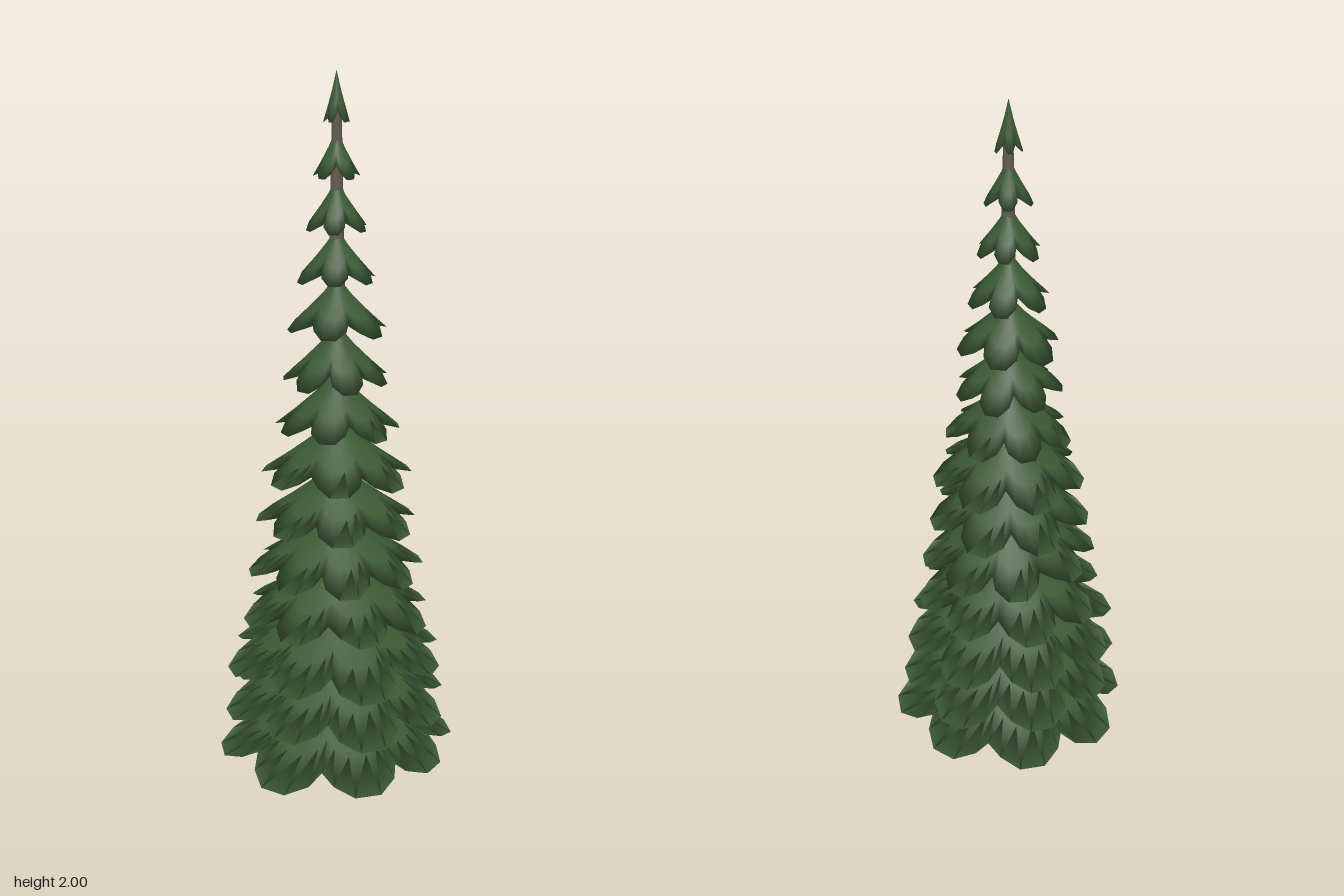
import * as THREE from 'three';

// Small seeded generator for natural variation
function makeRandom(seed) {
  return () => {
    seed = (seed * 16807) % 2147483647;
    return seed / 2147483647;
  };
}

// Outline of one rounded branch tip: position across the lobe, depth of cut-in
const LOBE = [[0, 1], [0.13, 0.42], [0.36, 0], [0.64, 0], [0.87, 0.42]];
const RINGS = 3;

// Closed, slightly concave skirt of branches with a scalloped, drooping rim
// and a shallow hollow underneath; the rim is shared so it shades softly
function skirtGeometry(radius, height, lobes, notch, turn, random) {
  const rim = [];
  for (let l = 0; l < lobes; l++) {
    const reach = 0.94 + 0.06 * random();
    const shift = (random() - 0.5) * 0.12;
    for (const [t, cut] of LOBE) {
      const angle = turn + ((l + t + shift) / lobes) * Math.PI * 2;
      rim.push([angle, radius * (1 - notch * cut) * (t === 0 ? 1 : reach)]);
    }
  }
  const n = rim.length;
  const positions = [];
  const index = [];
  for (let j = 0; j <= RINGS; j++) {
    for (const [angle, edge] of rim) {
      const r = (edge * Math.max(j, 0.02)) / RINGS;
      const y = height * (1 - Math.pow(r / radius, 0.85));
      positions.push(Math.cos(angle) * r, y, Math.sin(angle) * r);
    }
  }
  for (let j = 0; j < RINGS; j++) {
    for (let i = 0; i < n; i++) {
      const a = j * n + i;
      const b = j * n + ((i + 1) % n);
      index.push(a, b, b + n, a, b + n, a + n);
    }
  }
  // Underside, fanned from the rim to a point on the trunk
  const centre = positions.length / 3;
  positions.push(0, height * 0.22, 0);
  for (let i = 0; i < n; i++) {
    index.push(RINGS * n + i, RINGS * n + ((i + 1) % n), centre);
  }
  const geometry = new THREE.BufferGeometry();
  geometry.setAttribute('position', new THREE.Float32BufferAttribute(positions, 3));
  geometry.setIndex(index);
  geometry.computeVertexNormals();
  return geometry;
}

export function createModel() {
  const tree = new THREE.Group();
  tree.name = 'firTree';

  const needles = new THREE.MeshStandardMaterial({ color: 0x3b5934, side: THREE.DoubleSide });
  needles.name = 'needle green';
  const bark = new THREE.MeshStandardMaterial({ color: 0x665c55 });
  bark.name = 'bark grey brown';

  // Tapered trunk
  const trunk = new THREE.Mesh(new THREE.CylinderGeometry(0.013, 0.053, 1.92, 7), bark);
  trunk.name = 'trunk';
  trunk.position.y = 0.96;
  tree.add(trunk);

  // Branch tiers, from the widest at the bottom to the tip
  const radii = [0.36, 0.34, 0.33, 0.285, 0.255, 0.235, 0.22,
    0.18, 0.155, 0.145, 0.115, 0.09, 0.065, 0.037];
  const random = makeRandom(4217);
  radii.forEach((radius, i) => {
    const top = i === radii.length - 1;
    const height = top ? 0.14 : 0.235 - 0.0088 * i;
    const lobes = i < 5 ? 8 : i < 9 ? 7 : i < 12 ? 6 : 5;
    const notch = 0.23 + 0.012 * i;
    const turn = i === 0 ? 0 : (random() - 0.5) * 0.35;
    const tier = new THREE.Mesh(skirtGeometry(radius, height, lobes, notch, turn, random), needles);
    tier.name = top ? 'treeTip' : `branchTier${i + 1}`;
    tier.position.y = 0.02 + (1.84 / 13) * i;
    tree.add(tier);
  });

  return tree;
}
